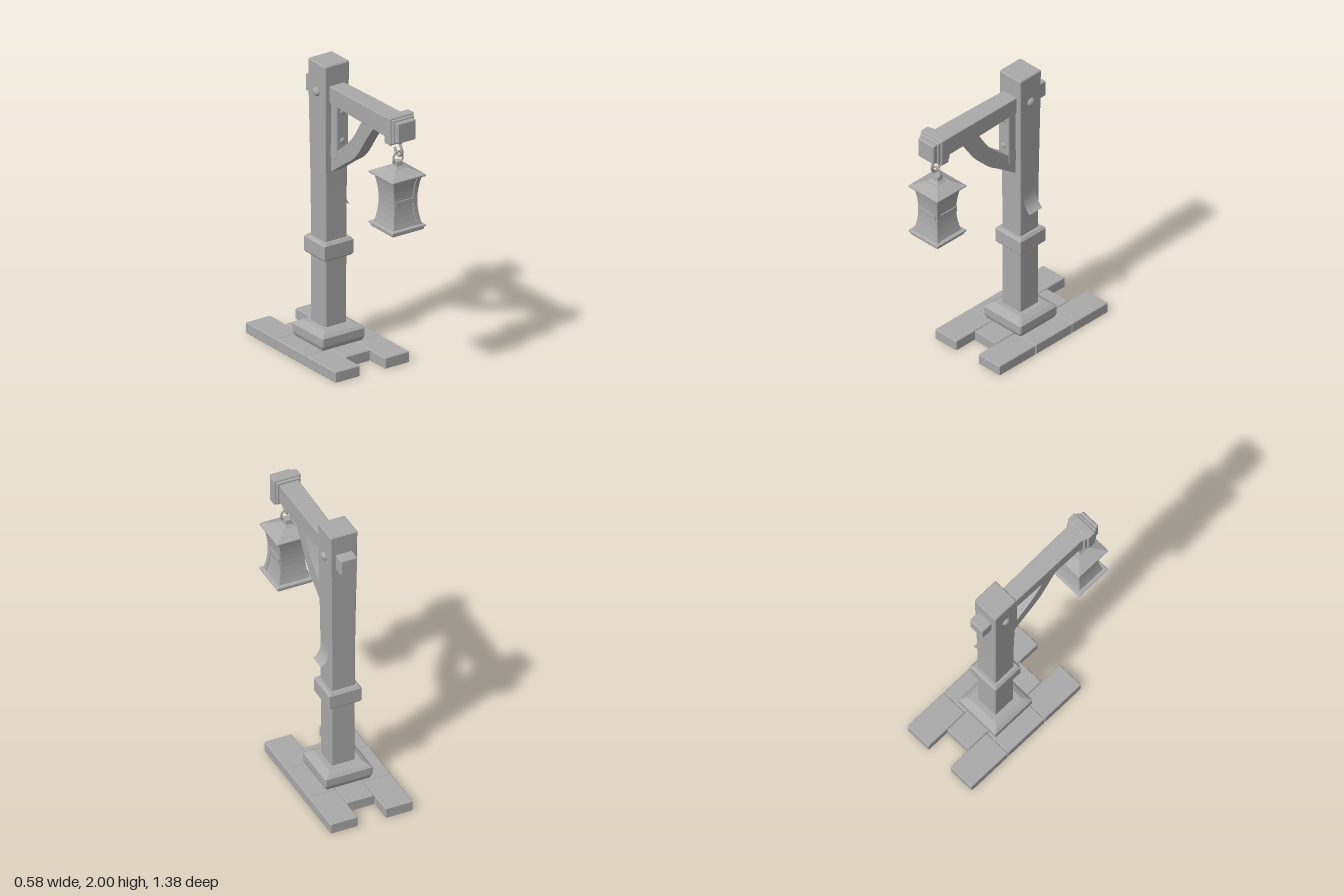
import * as THREE from 'three';

const stone = new THREE.MeshStandardMaterial({ color: 0xaaaaaa });
stone.name = 'grey';
const sheetGrey = stone.clone();
sheetGrey.name = 'grey sheet';
sheetGrey.side = THREE.DoubleSide;

const POST_Z = -0.187, BEAM_Y = 1.799, LAMP_Z = 0.561;

// Flat-faced loft up the y axis: rings of [height, halfX, halfZ], corners cut by c
function loft(rings, c = 0.006) {
  const pos = [];
  const loops = rings.map(([y, a, b = a]) => [
    [a, b - c], [a, c - b], [a - c, -b], [c - a, -b],
    [-a, c - b], [-a, b - c], [c - a, b], [a - c, b],
  ].map(([x, z]) => [x, y, z]));
  const tri = (...pts) => pts.forEach((p) => pos.push(...p));
  for (let k = 0; k < loops.length - 1; k++) {
    for (let i = 0; i < 8; i++) {
      const j = (i + 1) % 8, lo = loops[k], hi = loops[k + 1];
      tri(lo[i], lo[j], hi[j]);
      tri(lo[i], hi[j], hi[i]);
    }
  }
  const bottom = loops[0], top = loops[loops.length - 1];
  for (let i = 1; i < 7; i++) {
    tri(top[0], top[i], top[i + 1]);
    tri(bottom[0], bottom[i + 1], bottom[i]);
  }
  const g = new THREE.BufferGeometry();
  g.setAttribute('position', new THREE.Float32BufferAttribute(pos, 3));
  g.computeVertexNormals();
  return g;
}

// Block with softened top and bottom edges
function block(y0, y1, a, b, e = 0.006) {
  return loft([[y0, a - e, b - e], [y0 + e, a, b], [y1 - e, a, b], [y1, a - e, b - e]], e);
}

export function createModel() {
  const model = new THREE.Group();
  model.name = 'lanternPost';
  const add = (name, geo, x = 0, y = 0, z = 0, parent = model, mat = stone) => {
    const m = new THREE.Mesh(geo, mat);
    m.name = name;
    m.position.set(x, y, z);
    parent.add(m);
    return m;
  };

  // Paving: three slabs on each side, two in the middle
  const slab = block(0, 0.075, 0.0955, 0.1625, 0.005);
  for (const side of [-1, 1]) {
    for (let i = 0; i < 3; i++) add('pavingSlab', slab, side * 0.1935, 0, -0.525 + i * 0.327);
  }
  for (const z of [-0.361, -0.034]) add('middleSlab', slab, 0, 0, z);

  // Post with plinth and collar
  add('plinth', loft([[0.075, 0.155], [0.09, 0.163], [0.105, 0.167], [0.158, 0.167],
    [0.175, 0.148], [0.192, 0.117]], 0.008), 0, 0, POST_Z);
  add('post', loft([[0.15, 0.082], [0.9, 0.083], [1.15, 0.085], [1.4, 0.088], [1.75, 0.093],
    [1.992, 0.095], [2, 0.089]], 0.006), 0, 0, POST_Z);
  add('collar', loft([[0.66, 0.105], [0.672, 0.115], [0.765, 0.115], [0.782, 0.1]], 0.006), 0, 0, POST_Z);

  // Beam with stepped end cap, lofted along z
  const alongZ = (name, rings) => add(name, loft(rings, 0.004).rotateX(Math.PI / 2), 0, BEAM_Y, 0);
  alongZ('beam', [[-0.36, 0.052], [-0.354, 0.057], [-0.1, 0.059], [0.2, 0.064], [0.55, 0.068]]);
  alongZ('beamCapBack', [[0.53, 0.077], [0.534, 0.082], [0.56, 0.082]]);
  alongZ('beamCapBand', [[0.549, 0.088], [0.555, 0.094], [0.609, 0.094], [0.615, 0.088]]);
  alongZ('beamCapFront', [[0.6, 0.082], [0.631, 0.082], [0.636, 0.077]]);
  alongZ('beamEnd', [[0.62, 0.07], [0.66, 0.07], [0.667, 0.064]]);

  // Curved brace under the beam, drawn in the z-y plane
  const brace = new THREE.Shape();
  brace.moveTo(0.25, 1.755);
  brace.splineThru([[0.142, 1.59], [0.035, 1.485], [-0.11, 1.375]].map((p) => new THREE.Vector2(...p)));
  brace.lineTo(-0.11, 1.255);
  brace.splineThru([[0.035, 1.36], [0.168, 1.46], [0.29, 1.63], [0.385, 1.755]].map((p) => new THREE.Vector2(...p)));
  brace.closePath();
  add('brace', new THREE.ExtrudeGeometry(brace, { depth: 0.086, bevelEnabled: false, curveSegments: 5 })
    .translate(0, 0, -0.043).rotateY(-Math.PI / 2));

  // Backing plate on the post, and the rivets
  add('backingPlate', block(1.36, 1.75, 0.047, 0.035), 0, 0, -0.07);
  const rivet = new THREE.SphereGeometry(0.03, 16, 12);
  for (const y of [1.69, 1.49]) add('plateRivet', rivet, 0, y, -0.037).scale.set(0.65, 0.65, 0.4);
  for (const side of [-1, 1]) add('postRivet', rivet, side * 0.093, BEAM_Y, POST_Z).scale.x = 0.75;

  // Curling paper nailed to the post's left side
  const edge = new THREE.CatmullRomCurve3([[0.089, 1.16], [0.089, 1.08], [0.097, 1.03], [0.117, 0.992], [0.143, 0.97]]
    .map(([x, y]) => new THREE.Vector3(x, y, 0)));
  const paper = new THREE.PlaneGeometry(1, 0.116, 10, 1);
  const p = paper.attributes.position;
  for (let i = 0; i < p.count; i++) {
    const q = edge.getPoint(p.getX(i) + 0.5);
    p.setXYZ(i, q.x, q.y, p.getY(i));
  }
  paper.computeVertexNormals();
  add('curledPaper', paper, 0, 0, -0.184, model, sheetGrey);

  // Hook below the beam cap
  const hook = new THREE.CatmullRomCurve3([[1.73, 0.588], [1.69, 0.588], [1.668, 0.602], [1.64, 0.612],
    [1.613, 0.597], [1.605, 0.575], [1.615, 0.55], [1.642, 0.536]].map(([y, z]) => new THREE.Vector3(0, y, z)));
  add('hook', new THREE.TubeGeometry(hook, 28, 0.009, 8));
  add('hookTip', new THREE.SphereGeometry(0.009, 8, 6), 0, 1.642, 0.536);
  add('hookSocket', new THREE.CylinderGeometry(0.02, 0.016, 0.03, 10), 0, 1.705, 0.588);

  // Lantern
  const lamp = new THREE.Group();
  lamp.name = 'lantern';
  lamp.position.z = LAMP_Z;
  model.add(lamp);
  const ring = add('lanternRing', new THREE.TorusGeometry(0.036, 0.007, 8, 24), 0, 1.588, 0.008, lamp);
  ring.scale.y = 1.15;
  add('lanternNeck', loft([[1.5, 0.05], [1.515, 0.045], [1.535, 0.027], [1.565, 0.023]], 0.004), 0, 0, 0, lamp);
  add('lanternRoof', loft([[1.468, 0.127], [1.472, 0.131], [1.48, 0.131], [1.517, 0.055]], 0.002), 0, 0, 0, lamp);
  add('lanternFloor', loft([[1.102, 0.118], [1.108, 0.122], [1.122, 0.122], [1.124, 0.131], [1.133, 0.131], [1.138, 0.118]],
    0.002), 0, 0, 0, lamp);

  // Waisted body, with a raised post at the front left corner
  const waist = (t) => 0.086 + 0.023 * (2 * t - 1) ** 2;
  const body = [], corner = [];
  for (let i = 0; i <= 8; i++) {
    const y = 1.13 + (0.345 * i) / 8;
    body.push([y, waist(i / 8)]);
    corner.push([y, 0.0175]);
  }
  add('lanternBody', loft(body, 0.002), 0, 0, 0, lamp);
  const cornerGeo = loft(corner, 0.002), cp = cornerGeo.attributes.position;
  for (let i = 0; i < cp.count; i++) {
    const d = waist((cp.getY(i) - 1.13) / 0.345) - 0.0115;
    cp.setXYZ(i, cp.getX(i) + d, cp.getY(i), cp.getZ(i) + d);
  }
  cornerGeo.computeVertexNormals();
  add('lanternCornerPost', cornerGeo, 0, 0, 0, lamp);

  // Window bars on the front and left faces
  add('frontBar', new THREE.BoxGeometry(0.155, 0.036, 0.01), -0.003, 1.306, 0.089, lamp);
  add('leftBar', new THREE.BoxGeometry(0.01, 0.036, 0.155), 0.089, 1.306, -0.003, lamp);

  return model;
}
